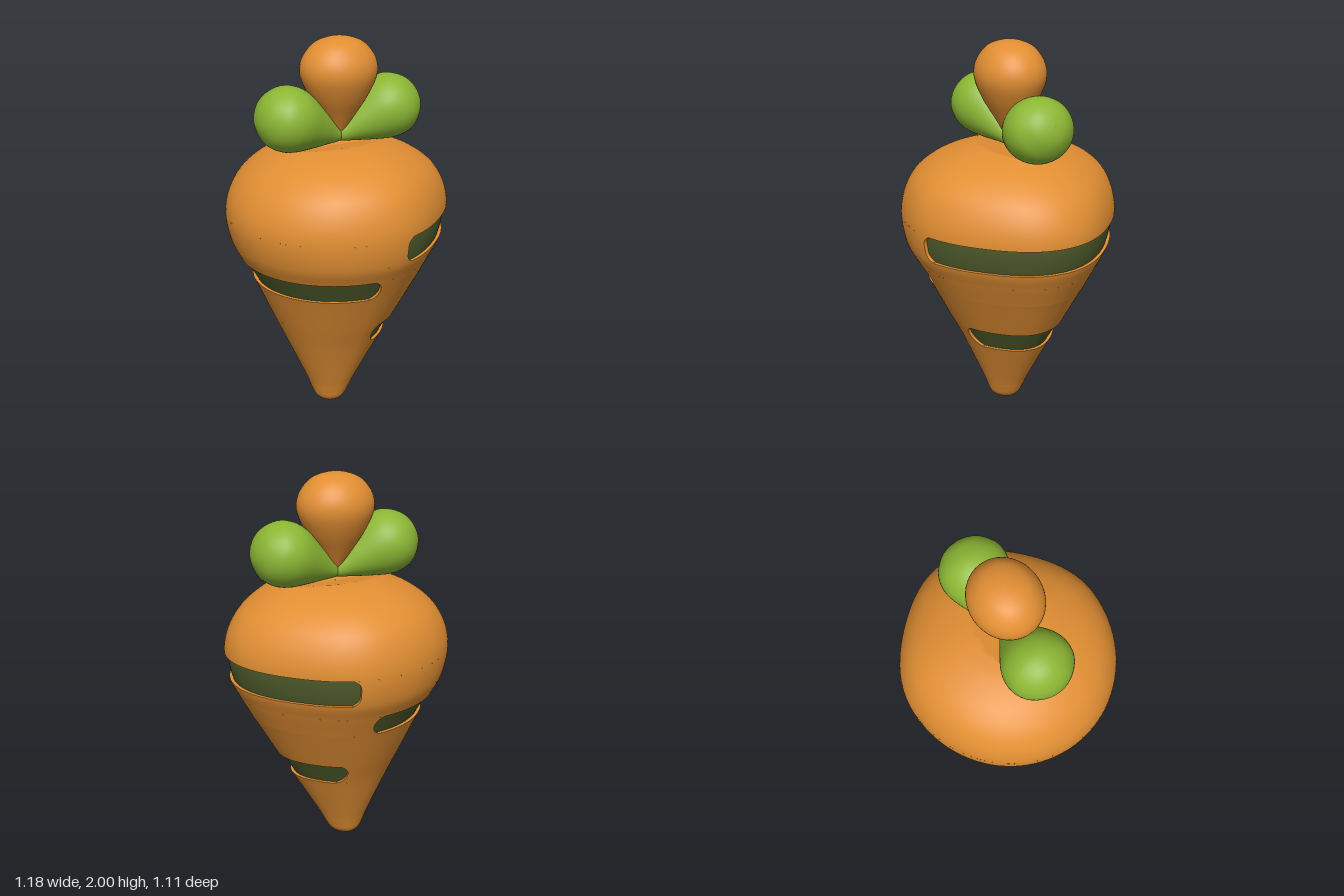
import * as THREE from 'three';
import { mergeGeometries } from 'three/addons/utils/BufferGeometryUtils.js';
import { ParametricGeometry } from 'three/addons/geometries/ParametricGeometry.js';

const GROOVE = 0.018;

// Root outline: half width, height, half depth
const outline = new THREE.CatmullRomCurve3([
  [0.002, 0, 0.002], [0.055, 0.008, 0.055], [0.085, 0.035, 0.085], [0.108, 0.08, 0.104], [0.13, 0.13, 0.124],
  [0.275, 0.41, 0.248], [0.338, 0.53, 0.31], [0.455, 0.76, 0.428], [0.52, 0.88, 0.492], [0.563, 0.97, 0.537],
  [0.588, 1.1, 0.557], [0.572, 1.2, 0.545], [0.515, 1.3, 0.502], [0.42, 1.38, 0.42], [0.29, 1.44, 0.29],
  [0.17, 1.467, 0.17], [0.002, 1.475, 0.002],
].map((p) => new THREE.Vector3(...p)));

// Outline parameter at a given height
function tAt(y) {
  let a = 0, b = 1;
  for (let i = 0; i < 42; i++) {
    const m = (a + b) / 2;
    if (outline.getPoint(m).y < y) a = m; else b = m;
  }
  return (a + b) / 2;
}

const centreX = (y) => -0.055 * Math.max(0, 1 - y / 0.76);

// Point on the root; the +x side is slightly pointed, the crown has a shallow trench for the leaves
function surface(theta, t, inset, target) {
  const p = outline.getPoint(t);
  const c = Math.cos(theta), s = Math.sin(theta);
  const pinch = c > 0 ? 1 - 0.06 * (2 * s * c) ** 2 : 1;
  const x = centreX(p.y) + (p.x - inset) * pinch * c;
  const z = -(p.z - inset) * pinch * s;
  const y = p.y > 1.3 ? Math.min(p.y, 1.445 + Math.abs(z) * 0.17) : p.y;
  return target.set(x, y, z);
}

// Grooves: side of the root, bottom, top, x where they end, corner radius
const grooves = [
  { side: 1, y0: 0.41, y1: 0.535, x: 0.055, r: 0.06 },
  { side: -1, y0: 0.76, y1: 0.88, x: 0.0, r: 0.058 },
  { side: 1, y0: 0.97, y1: 1.11, x: 0.11, r: 0.05 },
];

// Angle at which a groove ends at height y, with rounded corners
function endAngle(g, y) {
  const d = Math.max(0.002, Math.min(y - g.y0, g.y1 - y));
  const round = d < g.r ? g.r - Math.sqrt(g.r ** 2 - (g.r - d) ** 2) : 0;
  const p = outline.getPoint(tAt(y));
  return Math.acos((g.x + g.side * round - centreX(y)) / p.x);
}

// Angle range inside (side = groove side) or outside a groove
function span(g, side, y) {
  const e = endAngle(g, y);
  return side > 0 ? [-e, e] : [e, 2 * Math.PI - e];
}

const { lerp } = THREE.MathUtils;

// Complete ring of the root between two heights
function ring(y0, y1, rows) {
  const t0 = tAt(y0), t1 = tAt(y1);
  return new ParametricGeometry((u, v, o) => surface(u * 2 * Math.PI, lerp(t0, t1, v), 0, o), 96, rows);
}

// Partial ring beside or inside a groove
function patch(g, side, inset) {
  return new ParametricGeometry((u, v, o) => {
    const y = lerp(g.y0, g.y1, v);
    const [a, b] = span(g, side, y);
    surface(lerp(a, b, u), tAt(y), inset, o);
  }, 72, 20);
}

// Thin walls around the rim of a groove
function walls(g) {
  const parts = [];
  for (const y of [g.y0, g.y1]) {
    const t = tAt(y), [a, b] = span(g, g.side, y);
    parts.push(new ParametricGeometry((u, v, o) => surface(lerp(a, b, u), t, GROOVE * v, o), 72, 1));
  }
  for (const end of [0, 1]) {
    parts.push(new ParametricGeometry((u, v, o) => {
      const y = lerp(g.y0, g.y1, u);
      surface(span(g, g.side, y)[end], tAt(y), GROOVE * v, o);
    }, 20, 1));
  }
  return parts;
}

// Smooth teardrop standing on its tip
function teardrop(points) {
  const curve = new THREE.SplineCurve(points.map((p) => new THREE.Vector2(...p)));
  const pts = curve.getPoints(40);
  pts.forEach((p) => { p.x = Math.max(0, p.x); });
  return new THREE.LatheGeometry(pts, 48);
}

export function createModel() {
  const orange = new THREE.MeshStandardMaterial({ color: 0xe28f33, side: THREE.DoubleSide });
  orange.name = 'orange';
  const green = new THREE.MeshStandardMaterial({ color: 0x8cb634 });
  green.name = 'leaf green';
  const olive = new THREE.MeshStandardMaterial({ color: 0x4d5a2b });
  olive.name = 'dark olive';

  const model = new THREE.Group();
  model.name = 'carrot';
  const add = (name, geometry, material) => {
    const mesh = new THREE.Mesh(geometry, material);
    mesh.name = name;
    model.add(mesh);
    return mesh;
  };

  // Root with recessed bands
  const rootParts = [
    ring(0, 0.41, 28), ring(0.535, 0.76, 8), ring(0.88, 0.97, 6), ring(1.11, 1.475, 48),
  ];
  grooves.forEach((g, i) => {
    rootParts.push(patch(g, -g.side, 0), ...walls(g));
    add(`grooveBand${i + 1}`, patch(g, g.side, GROOVE), olive);
  });
  add('root', mergeGeometries(rootParts), orange);

  // Upright middle bud
  const bud = add('middleBud', teardrop([
    [0, 1.47], [0.025, 1.51], [0.09, 1.61], [0.155, 1.71], [0.197, 1.81], [0.188, 1.89], [0.135, 1.96],
    [0.065, 1.992], [0, 2],
  ]), orange);
  bud.scale.z = 0.89;

  // Side leaves, leaning outwards
  for (const side of [1, -1]) {
    const leaf = add(side > 0 ? 'leftLeaf' : 'rightLeaf', teardrop([
      [0, -0.03], [0.03, 0], [0.062, 0.06], [0.11, 0.15], [0.152, 0.24], [0.165, 0.31], [0.15, 0.38],
      [0.1, 0.44], [0.05, 0.466], [0, 0.474],
    ]), green);
    leaf.position.y = 1.49;
    leaf.rotation.z = -side * THREE.MathUtils.degToRad(66);
    leaf.scale.z = 1.06;
  }
  return model;
}
